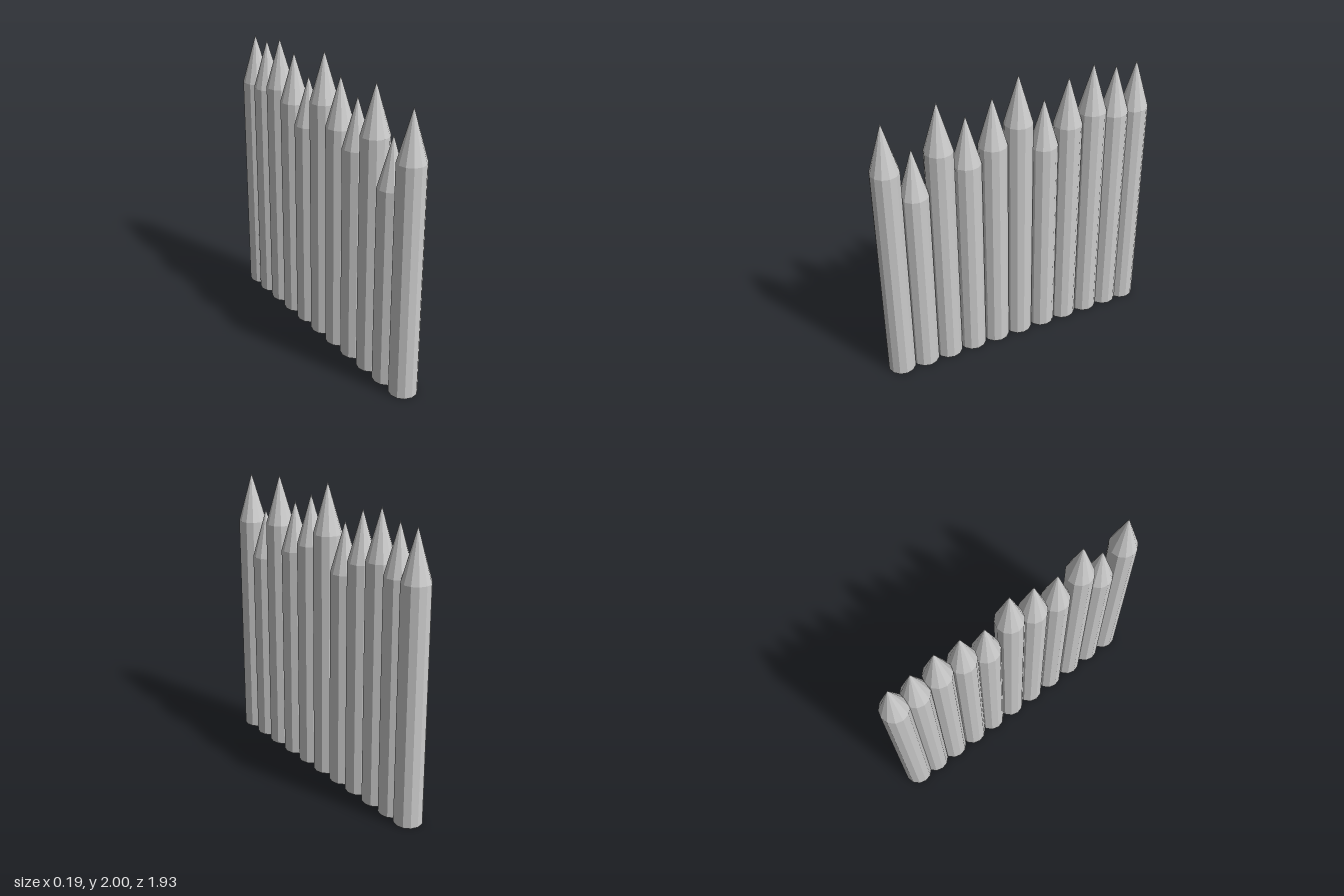
import * as THREE from 'three';

const RADIUS = 0.094;
const SIDES = 12;
const POINT_HEIGHT = 0.33;

// Each stake: [z position, height of the tip]
const STAKES = [
  [0.869, 1.9], [0.695, 1.68], [0.52, 1.95], [0.338, 1.81],
  [0.158, 1.89], [-0.02, 2.0], [-0.201, 1.79], [-0.374, 1.9],
  [-0.55, 1.95], [-0.717, 1.9], [-0.869, 1.9],
];

export function createModel() {
  const model = new THREE.Group();
  model.name = 'palisade';
  const material = new THREE.MeshStandardMaterial({ color: 0xcccccc, flatShading: true });

  // Sharpened point, shared by every stake
  const pointGeometry = new THREE.ConeGeometry(RADIUS, POINT_HEIGHT, SIDES, 1, true);

  STAKES.forEach(([z, tip], i) => {
    const stake = new THREE.Group();
    stake.name = `stake${i + 1}`;
    stake.position.z = z;

    // Straight post standing on the ground
    const shaftHeight = tip - POINT_HEIGHT;
    const shaft = new THREE.Mesh(
      new THREE.CylinderGeometry(RADIUS, RADIUS, shaftHeight, SIDES), material);
    shaft.name = 'shaft';
    shaft.position.y = shaftHeight / 2;

    const point = new THREE.Mesh(pointGeometry, material);
    point.name = 'point';
    point.position.y = shaftHeight + POINT_HEIGHT / 2;

    stake.add(shaft, point);
    model.add(stake);
  });

  return model;
}
